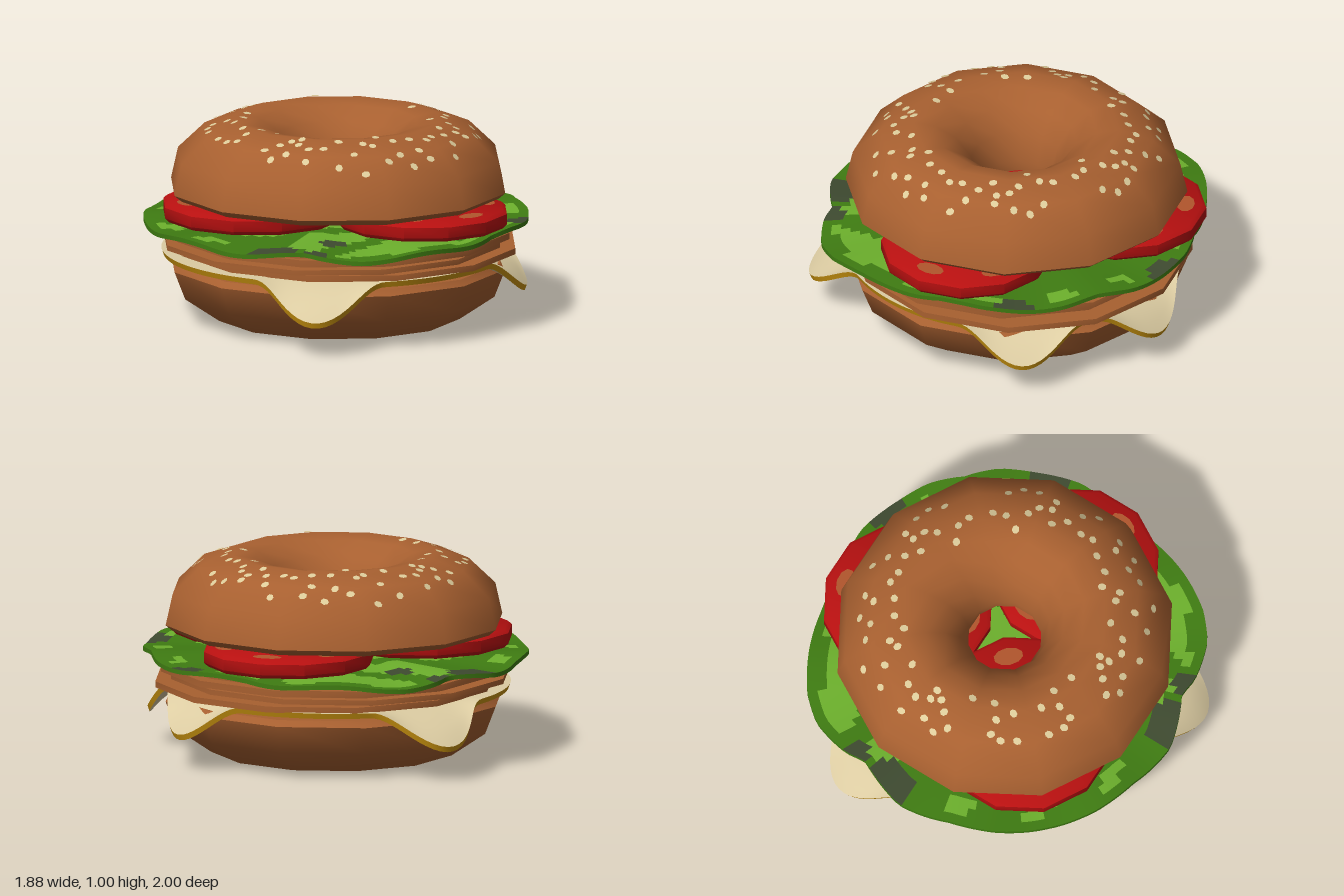
import * as THREE from 'three';
import { mergeGeometries, toCreasedNormals } from 'three/addons/utils/BufferGeometryUtils.js';

const mat = (name, color) => {
  const m = new THREE.MeshStandardMaterial({ color });
  m.name = name;
  return m;
};

// Thin solid sheet on a polar grid. top(a, t) gives the upper surface point,
// under(p, a) the point below it; groups follow the given material indices.
function polarSheet(na, ts, top, under, topIndex, bottomIndex, sideIndex) {
  const pos = [], lists = [[], [], []], nt = ts.length;
  const add = (p) => pos.push(p.x, p.y, p.z) / 3 - 1;
  const up = [], low = [], rimA = [], rimB = [];
  for (let i = 0; i < na; i++) {
    const a = (i / na) * Math.PI * 2;
    up.push([]); low.push([]);
    ts.forEach((t, j) => {
      const p = top(a, t), q = under(p, a);
      up[i].push(add(p));
      low[i].push(add(q));
      if (j === nt - 1) { rimA.push(add(p)); rimB.push(add(q)); }
    });
  }
  for (let i = 0; i < na; i++) {
    const k = (i + 1) % na;
    for (let j = 0; j < nt - 1; j++) {
      const id = topIndex(((i + 0.5) / na) * Math.PI * 2, (ts[j] + ts[j + 1]) / 2);
      lists[id].push(up[i][j], up[k][j + 1], up[i][j + 1]);
      lists[bottomIndex].push(low[i][j], low[i][j + 1], low[k][j + 1]);
      if (j > 0) {
        lists[id].push(up[i][j], up[k][j], up[k][j + 1]);
        lists[bottomIndex].push(low[i][j], low[k][j + 1], low[k][j]);
      }
    }
    lists[sideIndex].push(rimA[i], rimA[k], rimB[i], rimA[k], rimB[k], rimB[i]);
  }
  const g = new THREE.BufferGeometry();
  g.setAttribute('position', new THREE.Float32BufferAttribute(pos, 3));
  g.setIndex(lists.flat());
  let start = 0;
  lists.forEach((l, m) => {
    if (l.length) g.addGroup(start, l.length, m);
    start += l.length;
  });
  g.computeVertexNormals();
  return g;
}

// Linear interpolation in a list of [key, value] pairs with rising keys
function lookup(table, x) {
  for (let i = 1; i < table.length; i++) {
    const [x0, y0] = table[i - 1], [x1, y1] = table[i];
    if (x <= x1) return y0 + ((y1 - y0) * Math.max(0, x - x0)) / (x1 - x0);
  }
  return table[table.length - 1][1];
}

export function createModel() {
  const group = new THREE.Group();
  const bun = mat('bun brown', 0xa86030);
  const seedMat = mat('sesame cream', 0xdccb9a);
  const cheeseMat = mat('cheese cream', 0xdccca2);
  const rindMat = mat('cheese gold', 0xcb940f);
  const red = mat('tomato red', 0xb81010);
  const pulp = mat('tomato pulp', 0xb2552c);
  const green = mat('leaf green', 0x3f7c12);
  const light = mat('leaf light green', 0x6cb02c);
  const grey = mat('leaf grey green', 0x3e4a30);
  const add = (name, geo, material) => {
    const m = new THREE.Mesh(geo, material);
    m.name = name;
    group.add(m);
    return m;
  };

  // Ring-shaped bun halves with twelve sides
  const BX = 0.013;
  const ring = (pts) => {
    const g = new THREE.LatheGeometry(pts.map(([x, y]) => new THREE.Vector2(x, y)), 12);
    g.translate(BX, 0, 0);
    return toCreasedNormals(g, 0.8);
  };
  const crown = [[0.845, 0.655], [0.81, 0.81], [0.675, 0.94], [0.51, 0.995],
    [0.4, 0.975], [0.3, 0.91], [0.225, 0.81], [0.185, 0.68]];
  add('topBun', ring([[0.185, 0.625], [0.81, 0.625], ...crown, [0.185, 0.625]]), bun);
  add('bottomBun', ring([[0.18, 0.3], [0.2, 0.2], [0.25, 0.1], [0.32, 0.015], [0.45, 0],
    [0.615, 0.01], [0.79, 0.13], [0.845, 0.27], [0.82, 0.3], [0.18, 0.3]]), bun);

  // Sesame seeds: x, z pairs, mirrored front to back and laid on the bun facets
  const seedSpots = [-0.07, 0.73, 0.06, 0.69, 0.19, 0.69, -0.19, 0.67, -0.1, 0.63, 0.13, 0.65,
    0.29, 0.64, 0.24, 0.61, -0.34, 0.6, 0.01, 0.58, 0.44, 0.57, -0.23, 0.54, -0.3, 0.52,
    -0.14, 0.5, -0.03, 0.55, 0.05, 0.5, 0.13, 0.53, 0.22, 0.51, 0.31, 0.51, 0.45, 0.49,
    -0.41, 0.5, -0.48, 0.47, -0.33, 0.45, 0.35, 0.46, -0.49, 0.4, -0.41, 0.4, -0.35, 0.4,
    -0.3, 0.41, 0.43, 0.41, 0.55, 0.38, 0.51, 0.35, 0.62, 0.31, 0.53, 0.29, 0.43, 0.33,
    -0.38, 0.25, 0.51, 0.23, 0.66, 0.24, -0.57, 0.2, -0.61, 0.16, -0.51, 0.16, -0.43, 0.15,
    0.44, 0.15, 0.52, 0.12, 0.65, 0.16, -0.63, 0.08, -0.5, 0.07, 0.55, 0.06];
  const heights = [...crown].reverse();
  const bunY = (x, z) => {
    const a = Math.atan2(z, x - BX), s = Math.PI / 6;
    const off = a - (Math.floor(a / s) + 0.5) * s;
    return lookup(heights, (Math.hypot(x - BX, z) * Math.cos(off)) / Math.cos(s / 2));
  };
  const seeds = [];
  for (let i = 0; i < seedSpots.length; i += 2) {
    for (const side of [1, -1]) {
      const x = seedSpots[i], z = seedSpots[i + 1] * side, e = 0.012;
      const n = new THREE.Vector3(bunY(x - e, z) - bunY(x + e, z), 2 * e, bunY(x, z - e) - bunY(x, z + e)).normalize();
      const g = new THREE.CircleGeometry(0.022, 7);
      g.scale(1, 0.85, 1);
      g.rotateZ(i * 1.3);
      g.applyQuaternion(new THREE.Quaternion().setFromUnitVectors(new THREE.Vector3(0, 0, 1), n));
      g.translate(x + n.x * 0.005, bunY(x, z) + n.y * 0.005, z + n.z * 0.005);
      seeds.push(g);
    }
  }
  add('sesameSeeds', mergeGeometries(seeds), seedMat);

  // Stack of thin meat slices, each shifted a little
  [[0.36, 0.06, 0.85, 0.03], [0.396, -0.02, 0.85, 0.026], [0.439, 0.03, 0.85, 0.032],
    [0.474, 0, 0.83, 0.022], [0.415, 0.01, 0.79, 0.14]].forEach(([y, x, r, h], i) => {
    const g = toCreasedNormals(new THREE.CylinderGeometry(r, r, h, 12), 0.8);
    g.translate(x, y, 0);
    add(i < 4 ? 'meatSlice' : 'meatCore', g, bun);
  });

  // Cheese sheet with four drooping corners and a golden cut edge
  const corners = [[113, 0.16], [-113, 0.16], [23.5, 0.09], [-23.5, 0.09]];
  const cheese = polarSheet(180, [0, 0.5, 0.8, 0.84, 0.88, 0.92, 0.96, 1], (a, t) => {
    let droop = 0, reach = 0;
    for (const [deg, out] of corners) {
      const d = Math.abs(Math.atan2(Math.sin(a - deg * Math.PI / 180), Math.cos(a - deg * Math.PI / 180)));
      if (d < 0.39) {
        droop = 0.5 + 0.5 * Math.cos((Math.PI * d) / 0.39);
        reach = out * droop;
      }
    }
    const u = Math.max(0, (t - 0.8) / 0.2);
    const r = t * 0.86 + reach * Math.sin((u * Math.PI) / 2);
    return new THREE.Vector3(r * Math.cos(a), 0.348 - 0.168 * droop * Math.pow(u, 1.4), r * Math.sin(a));
  }, (p, a) => new THREE.Vector3(p.x - 0.01 * Math.cos(a), p.y - 0.028, p.z - 0.01 * Math.sin(a)),
  () => 0, 0, 1);
  add('cheese', cheese, [cheeseMat, rindMat]);

  // Wavy lettuce with light patches and grey-green bruises
  const leafEdge = [[0, 0.93], [11, 0.955], [22, 0.95], [36, 0.95], [50, 0.91], [65, 0.935],
    [78, 0.97], [90, 1], [99, 1], [111.5, 0.945], [117, 0.9], [134, 0.955], [150, 0.935],
    [164, 0.95], [180, 0.945]];
  const deg = (a) => Math.abs(Math.atan2(Math.sin(a), Math.cos(a))) * 180 / Math.PI;
  const leafR = (a) => lookup(leafEdge, deg(a));
  const bruises = [[-0.56, 0.73, 0.13], [-0.36, 0.82, 0.06], [0.86, 0.43, 0.1], [-0.2, 0.6, 0.07]];
  const leafColour = (a, t) => {
    const r = t * leafR(a), x = r * Math.cos(a), z = Math.abs(r * Math.sin(a));
    if (bruises.some(([bx, bz, s]) => Math.hypot(x - bx, z - bz) < s)) return 2;
    const n = Math.sin(x * 13 + 2 * Math.sin(z * 9)) + Math.sin(z * 17 + x * 6);
    const front = deg(a) > 60 && deg(a) < 125;
    if (t > 0.93 + 0.02 * Math.sin(a * 14)) return 0;
    return n > (front ? -0.9 : 0.6) ? 1 : 0;
  };
  const rings = Array.from({ length: 21 }, (_, i) => i / 20);
  const lettuce = polarSheet(144, rings, (a, t) => {
    const r = t * leafR(a);
    return new THREE.Vector3(r * Math.cos(a),
      0.505 + t * t * (0.012 * Math.cos(9 * a) + 0.008 * Math.cos(a) + 0.006 * Math.cos(2 * a)),
      r * Math.sin(a));
  }, (p) => new THREE.Vector3(p.x, p.y - 0.022, p.z), leafColour, 0, 0);
  add('lettuce', lettuce, [green, light, grey]);

  // Three tomato slices with pale pulp pockets
  [[-0.42, 0, 0.46], [0.32, 0.42, 0.425], [0.32, -0.42, 0.425]].forEach(([x, z, r]) => {
    const slice = new THREE.Group();
    slice.name = 'tomatoSlice';
    slice.position.set(x, 0, z);
    const body = toCreasedNormals(new THREE.LatheGeometry([[0, 0.525], [r - 0.02, 0.525], [r, 0.545],
      [r, 0.598], [r - 0.02, 0.615], [0, 0.615]].map((p) => new THREE.Vector2(...p)), 12), 0.8);
    const skin = new THREE.Mesh(body, red);
    skin.name = 'tomatoBody';
    slice.add(skin);
    const pockets = [];
    for (let i = 0; i < 6; i++) {
      const g = new THREE.CircleGeometry(1, 10);
      g.rotateX(-Math.PI / 2);
      g.scale(0.045, 1, 0.075);
      g.translate(r * 0.76, 0.618, 0);
      g.rotateY((i * Math.PI) / 3);
      pockets.push(g);
    }
    const pulpMesh = new THREE.Mesh(mergeGeometries(pockets), pulp);
    pulpMesh.name = 'tomatoPulp';
    slice.add(pulpMesh);
    group.add(slice);
  });

  return group;
}
